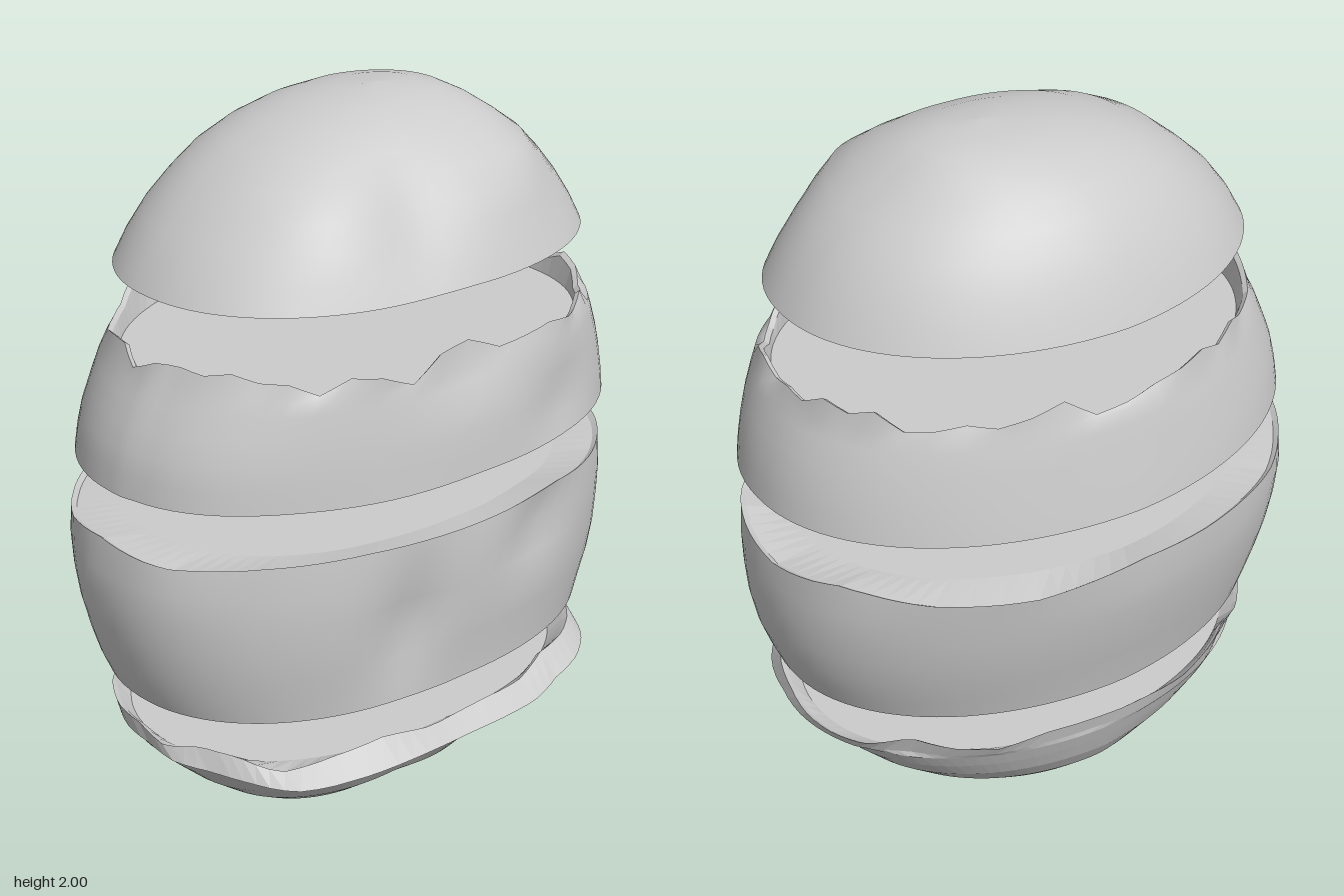
import * as THREE from 'three';

const N = 96; // points around each cross-section

// Repeatable value in -1..1
const hash = (i, seed) => {
  const v = Math.sin(i * 127.1 + seed * 311.7) * 43758.5453;
  return 2 * (v - Math.floor(v)) - 1;
};
// Broken edge: straight runs between uneven knots around the ring
const jag = (seed, knots, amp) => (j) => {
  const t = (j / N) * knots, i = Math.floor(t), f = t - i;
  return amp * (hash(i % knots, seed) * (1 - f) + hash((i + 1) % knots, seed) * f);
};
const bump = (v, centre, width) => Math.exp(-(((v - centre) / width) ** 2));

// Skin over rings given as { y, x: [left, right], z: [back, front], lift, push }
function loft(rings, { flat = false, relief = () => 0 } = {}) {
  const pos = [], index = [];
  for (const { y, x, z, lift = () => 0, push = () => 0 } of rings) {
    const cx = (x[0] + x[1]) / 2, rx = (x[1] - x[0]) / 2;
    const cz = (z[0] + z[1]) / 2, rz = (z[1] - z[0]) / 2;
    for (let j = 0; j < N; j++) {
      const a = (j / N) * Math.PI * 2, c = Math.cos(a), s = Math.sin(a);
      const e = s > 0 ? 0.92 : 0.98; // front is a little squarer
      const px = cx + rx * Math.sign(c) * Math.abs(c) ** e;
      const pz = cz + rz * Math.sign(s) * Math.abs(s) ** e;
      // fuller front corners, slimmer back corners
      const k = 1 + 0.04 * s * Math.abs(c) + push(j) + relief(px, y, pz);
      pos.push(px * k, y + lift(j), pz * k);
    }
  }
  for (let i = 0; i < rings.length - 1; i++) {
    for (let j = 0; j < N; j++) {
      const a = i * N + j, b = i * N + ((j + 1) % N);
      index.push(a, a + N, b, b, a + N, b + N);
    }
  }
  const geo = new THREE.BufferGeometry();
  geo.setAttribute('position', new THREE.Float32BufferAttribute(pos, 3));
  geo.setIndex(index);
  geo.computeVertexNormals();
  return new THREE.Mesh(geo, new THREE.MeshStandardMaterial({
    color: 0xcccccc, flatShading: flat, side: THREE.DoubleSide,
  }));
}

const ring = (y, xl, xr, zb, zf, extra = {}) => ({ y, x: [xl, xr], z: [zb, zf], ...extra });
const shrink = (r, k, y, extra = {}) => ({ y, x: r.x.map((v) => v * k), z: r.z.map((v) => v * k), ...extra });

// One slice: outer wall, flat underside and, when given, a sunken top
function slice(name, wall, { underside = true, floorY, rim = 0.02, floorWidth = 0.95, relief, flat } = {}) {
  const g = new THREE.Group();
  g.name = name;
  const add = (part, mesh) => { mesh.name = part; g.add(mesh); };
  add('outerWall', loft(wall, { relief, flat }));
  if (underside) add('underside', loft([shrink(wall[0], 0, wall[0].y), wall[0]], { flat: true, relief }));
  if (floorY !== undefined) {
    const top = wall[wall.length - 1];
    add('sunkenTop', loft([
      top,
      shrink(top, 1 - rim, top.y - 0.01, { lift: top.lift, push: top.push }),
      shrink(top, floorWidth, floorY),
      shrink(top, 0, floorY),
    ], { flat: true, relief }));
  }
  return g;
}

export function createModel() {
  const model = new THREE.Group();
  model.name = 'slicedBoulder';

  // Hollow domed cap with a dip at the front and a swelling at either side of it
  model.add(slice('topCap', [
    ring(1.61, -0.65, 0.665, -0.475, 0.51),
    ring(1.67, -0.615, 0.635, -0.452, 0.485),
    ring(1.74, -0.56, 0.59, -0.42, 0.45),
    ring(1.8, -0.495, 0.54, -0.385, 0.41),
    ring(1.86, -0.42, 0.475, -0.34, 0.355),
    ring(1.91, -0.33, 0.4, -0.285, 0.295),
    ring(1.95, -0.23, 0.345, -0.225, 0.235),
    ring(1.98, -0.11, 0.29, -0.155, 0.155),
    ring(1.994, 0, 0.22, -0.08, 0.09),
    ring(2.0, 0.1, 0.1, 0.02, 0.02),
  ], {
    underside: false,
    relief: (x, y, z) => (z > 0
      ? Math.min(1, z * 6) * (0.1 * bump(x, 0.27, 0.15) * bump(y, 1.88, 0.1)
        + 0.05 * bump(x, -0.32, 0.13) * bump(y, 1.84, 0.1)
        - 0.1 * bump(x, -0.1, 0.12) * bump(y, 1.8, 0.13))
      : 0),
  }));

  // Upper slice with a thin, toothed rim
  model.add(slice('upperSlice', [
    ring(1.12, -0.772, 0.778, -0.555, 0.55),
    ring(1.18, -0.765, 0.77, -0.545, 0.546),
    ring(1.24, -0.752, 0.757, -0.533, 0.542),
    ring(1.3, -0.728, 0.74, -0.522, 0.537),
    ring(1.36, -0.702, 0.717, -0.51, 0.532),
    ring(1.395, -0.683, 0.702, -0.5, 0.527),
    ring(1.43, -0.665, 0.685, -0.49, 0.522, { lift: jag(3, 48, 0.032), push: jag(5, 48, 0.015) }),
  ], {
    floorY: 1.37,
    floorWidth: 0.96,
    relief: (x, y, z) => (z > 0.1
      ? -0.06 * bump(x, 0, 0.17) * bump(y, 1.41, 0.08) - 0.03 * bump(x, 0.33, 0.12) * bump(y, 1.22, 0.07)
        - 0.025 * bump(x, -0.52, 0.2)
      : 0),
  }));

  // Middle slice, bulging at either side of a front groove, with a gently dished top
  model.add(slice('middleSlice', [
    ring(0.52, -0.72, 0.71, -0.485, 0.515),
    ring(0.58, -0.745, 0.735, -0.5, 0.52),
    ring(0.65, -0.765, 0.76, -0.52, 0.53),
    ring(0.73, -0.782, 0.777, -0.542, 0.54),
    ring(0.81, -0.79, 0.785, -0.56, 0.545),
    ring(0.89, -0.79, 0.787, -0.575, 0.55),
    ring(0.97, -0.778, 0.783, -0.582, 0.548, { lift: jag(8, 16, 0.025), push: jag(9, 24, 0.008) }),
  ], {
    floorY: 0.955,
    floorWidth: 0.82,
    relief: (x, y, z) => (z > 0.1
      ? -0.07 * bump(x, -0.2, 0.1) * bump(y, 0.74, 0.14) - 0.06 * bump(x, 0.25, 0.12) * bump(y, 0.88, 0.07)
      : 0),
  }));

  // Rounded bowl, fuller at the front left, with a ragged lip flaring out at the front
  const ragged = jag(14, 30, 0.022);
  const flare = (j) => ragged(j) + 0.085 * bump(j, N * 0.355, N * 0.06);
  model.add(slice('bottomBowl', [
    ring(0, -0.04, -0.04, 0.01, 0.01),
    ring(0.006, -0.15, 0.07, -0.08, 0.07),
    ring(0.025, -0.26, 0.17, -0.165, 0.13),
    ring(0.06, -0.345, 0.27, -0.24, 0.2),
    ring(0.11, -0.425, 0.38, -0.31, 0.265),
    ring(0.17, -0.505, 0.465, -0.37, 0.31),
    ring(0.24, -0.58, 0.55, -0.415, 0.345),
    ring(0.3, -0.635, 0.61, -0.44, 0.385),
    ring(0.35, -0.675, 0.655, -0.46, 0.44),
    ring(0.365, -0.7, 0.69, -0.465, 0.555, { push: flare }),
    ring(0.408, -0.7, 0.69, -0.478, 0.49, { lift: jag(12, 30, 0.022), push: flare }),
  ], {
    underside: false,
    floorY: 0.365,
    floorWidth: 0.93,
    flat: true,
    relief: (x, y, z) => {
      const corner = (x * z) / (x * x + z * z + 1e-4); // strongest on the diagonals
      const depth = bump(y, 0.14, 0.12);
      if (corner < 0) return 0;
      return depth * corner * (z > 0 ? 0.24 : -0.08);
    },
  }));

  return model;
}
